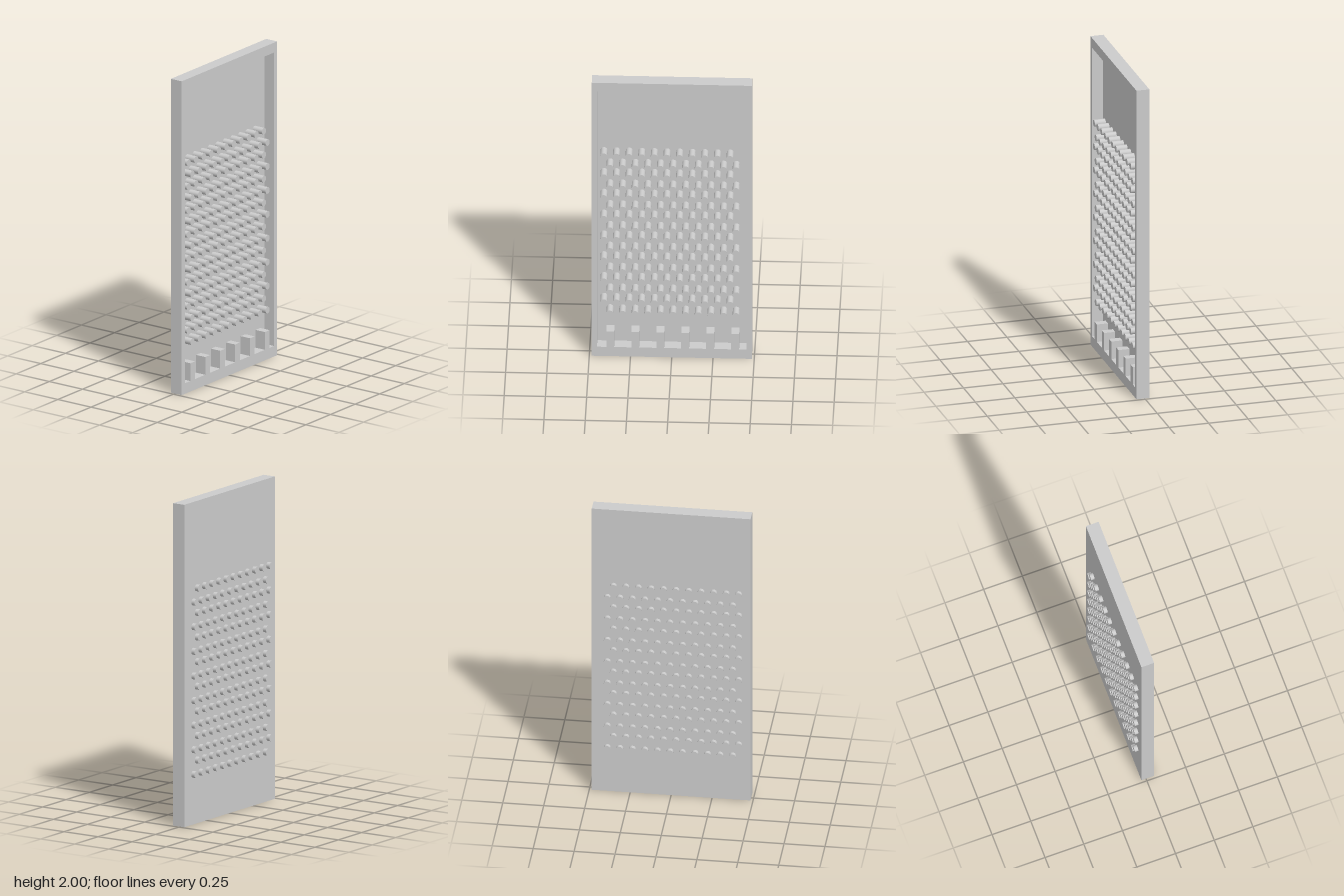
import * as THREE from 'three';

const BACK = -0.03, FLOOR = -0.018, FRONT = 0.052; // tray layers along x
const HALF = 0.485, INNER = 0.453;                 // outer and inner half widths
const BOTTOM = 0.067, TOP = 1.937;                 // inner opening heights

export function createModel() {
  const group = new THREE.Group();
  const mat = new THREE.MeshStandardMaterial({ color: 0xcccccc });
  const add = (name, geo, parent = group) => {
    const mesh = new THREE.Mesh(geo, mat);
    mesh.name = name;
    parent.add(mesh);
    return mesh;
  };

  // Back panel
  add('backPanel', new THREE.BoxGeometry(FLOOR - BACK, 2, 2 * HALF))
    .position.set((BACK + FLOOR) / 2, 1, 0);

  // Frame with slot dividers rising from its lower edge (shape x runs along -z)
  const outline = new THREE.Shape();
  outline.moveTo(-HALF, 0).lineTo(HALF, 0).lineTo(HALF, 2).lineTo(-HALF, 2).closePath();
  const opening = new THREE.Path();
  opening.moveTo(-INNER, TOP).lineTo(-INNER, BOTTOM);
  for (let i = 0; i < 6; i++) {
    const u = -0.397 + i * 0.1515;
    opening.lineTo(u, BOTTOM).lineTo(u, 0.18).lineTo(u + 0.048, 0.18).lineTo(u + 0.048, BOTTOM);
  }
  opening.lineTo(INNER, BOTTOM).lineTo(INNER, TOP).closePath();
  outline.holes.push(opening);
  const frame = new THREE.ExtrudeGeometry(outline, { depth: FRONT - FLOOR, bevelEnabled: false });
  frame.rotateY(Math.PI / 2);
  add('frameWithDividers', frame).position.x = FLOOR;

  // Staggered pegs passing through the back panel
  const pegs = new THREE.Group();
  pegs.name = 'pegs';
  group.add(pegs);
  const pegGeo = new THREE.CylinderGeometry(0.021, 0.021, 0.105, 24).rotateZ(Math.PI / 2);
  for (let row = 0; row < 16; row++) {
    const odd = row % 2;
    const y = (odd ? 1.38 : 1.462) - Math.floor(row / 2) * 0.1526;
    for (let i = 0; i < 11; i++) {
      add('peg', pegGeo, pegs).position.set(-0.001, y, (odd ? 0.376 : 0.413) - i * 0.0765);
    }
  }
  return group;
}
